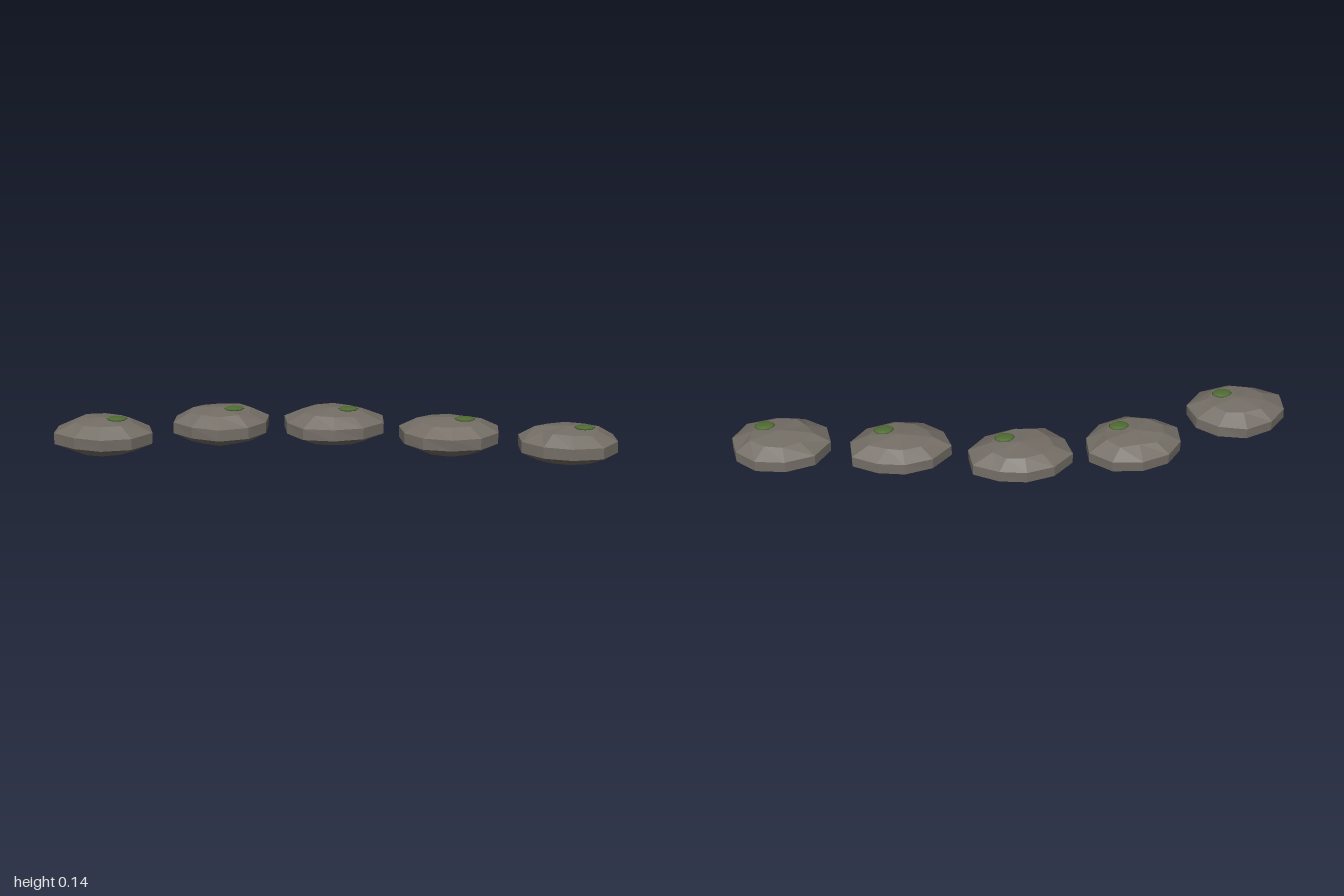
import * as THREE from 'three';

// Centre of each stone and the reach of its ten corners, counter-clockwise from above.
const STONES = [
  { x: -0.83, z: -0.003, reach: [0.97, 0.95, 1.0, 0.97, 1.0, 1.03, 0.93, 0.98, 1.04, 1.06] },
  { x: -0.415, z: -0.122, reach: [1.04, 1.02, 0.97, 0.96, 0.95, 1.0, 0.96, 1.04, 1.02, 1.0] },
  { x: 0, z: -0.113, reach: [1.06, 0.91, 0.92, 0.98, 1.07, 1.02, 1.08, 1.0, 1.03, 1.07] },
  { x: 0.415, z: 0.013, reach: [1.05, 0.91, 0.92, 0.99, 1.07, 0.98, 0.97, 0.96, 1.0, 1.02] },
  { x: 0.83, z: 0.117, reach: [0.99, 1.0, 1.0, 1.06, 1.03, 1.0, 0.96, 0.97, 1.06, 1.02] },
];
const SIDES = 10, RINGS = 5;

// Repeatable small variation between -1 and 1
function wobble(a, b, c) {
  const s = Math.sin(a * 12.99 + b * 78.23 + c * 37.72) * 43758.55;
  return (s - Math.floor(s)) * 2 - 1;
}

// Flattened coarse sphere whose corners are pushed in and out
function stoneGeometry(reach, seed) {
  const geo = new THREE.SphereGeometry(1, SIDES, RINGS);
  geo.rotateY(Math.PI / SIDES);
  const p = geo.attributes.position;
  for (let i = 0; i < p.count; i++) {
    const x = p.getX(i), y = p.getY(i), z = p.getZ(i);
    const pole = Math.abs(y) > 0.99;
    const turn = Math.atan2(-z, x) / (Math.PI * 2) * SIDES - 0.5;
    const k = (Math.round(turn) + SIDES) % SIDES;
    const ring = Math.round(Math.acos(THREE.MathUtils.clamp(y, -1, 1)) / Math.PI * RINGS);
    const shoulder = !pole && Math.abs(y) > 0.5;
    const r = pole ? 1 : reach[k] + (shoulder ? 0.09 : 0.012) * wobble(seed, k, ring);
    const lift = shoulder ? 1 + 0.06 * wobble(seed + 3, k, ring) : 1;
    p.setXYZ(i, x * r * 0.186, y * lift * 0.067, z * r * 0.143);
  }
  geo.computeVertexNormals();
  return geo;
}

export function createModel() {
  const model = new THREE.Group();
  model.name = 'steppingStones';
  const stoneMat = new THREE.MeshStandardMaterial({ color: 0x736d65, flatShading: true });
  stoneMat.name = 'greyStone';
  const mossMat = new THREE.MeshStandardMaterial({ color: 0x4f6b32 });
  mossMat.name = 'mossGreen';
  const mossGeo = new THREE.SphereGeometry(1, 12, 6).scale(0.037, 0.0075, 0.025);

  STONES.forEach(({ x, z, reach }, i) => {
    const group = new THREE.Group();
    group.name = `steppingStone${i + 1}`;
    group.position.set(x, 0, z);

    const stone = new THREE.Mesh(stoneGeometry(reach, i + 1), stoneMat);
    stone.name = 'stone';
    stone.position.y = 0.072;

    // Moss patch sitting off-centre on top
    const moss = new THREE.Mesh(mossGeo, mossMat);
    moss.name = 'mossPatch';
    moss.position.set(0.052, 0.1415, 0.03);

    group.add(stone, moss);
    model.add(group);
  });
  return model;
}
